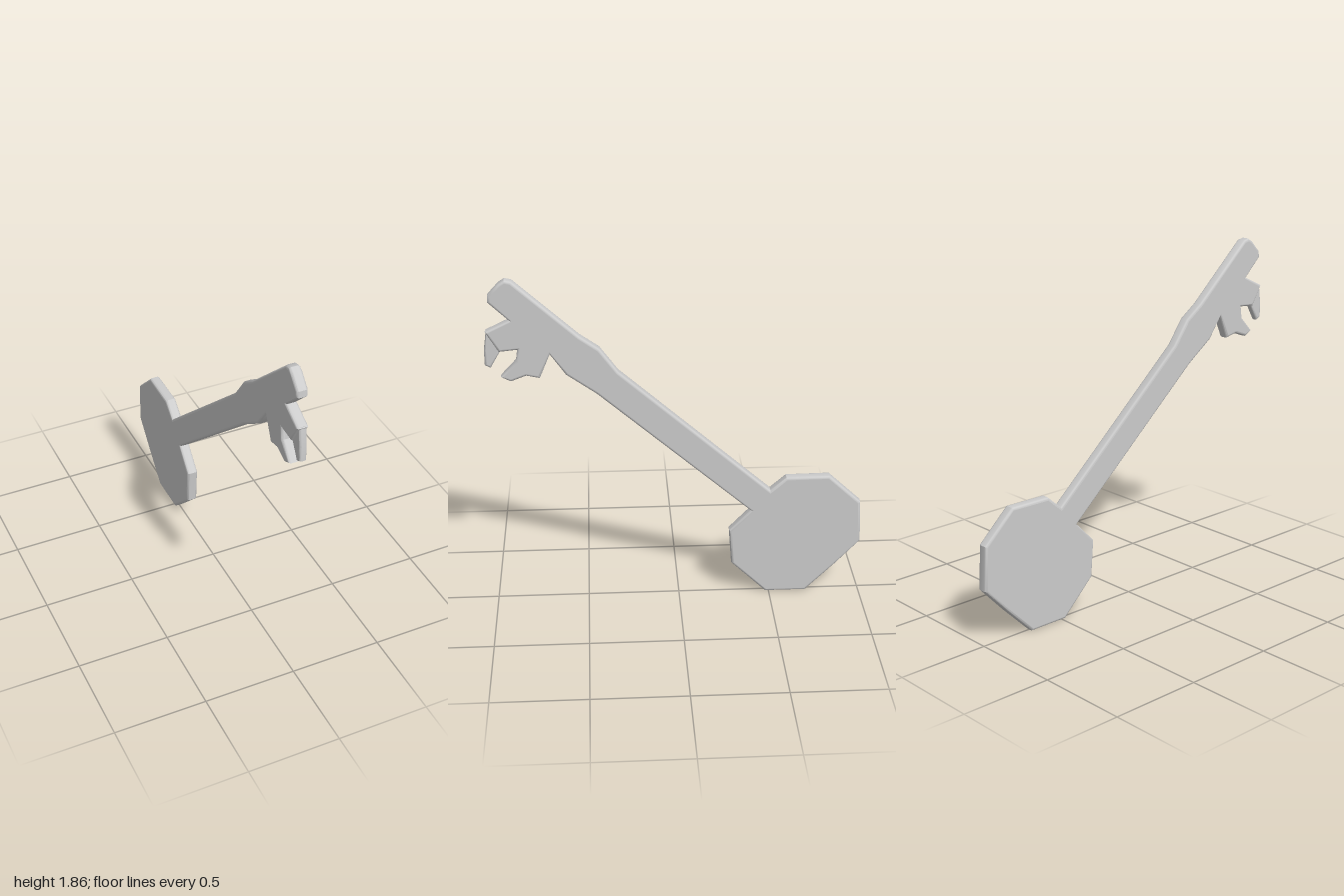
import * as THREE from 'three';
import { toCreasedNormals } from 'three/addons/utils/BufferGeometryUtils.js';

const material = new THREE.MeshStandardMaterial({ color: 0xcccccc });

// Plate cut from a (z, y) outline, centred on x = 0, with rounded rims and flat sides
function plate(name, outline, thickness, bevel) {
  const shape = new THREE.Shape(outline.map(([z, y]) => new THREE.Vector2(z, y)));
  const raw = new THREE.ExtrudeGeometry(shape, {
    depth: thickness - 2 * bevel,
    bevelEnabled: true,
    bevelThickness: bevel,
    bevelSize: bevel,
    bevelOffset: -bevel,
    bevelSegments: 4,
  });
  raw.translate(0, 0, bevel - thickness / 2);
  raw.rotateY(-Math.PI / 2);
  const geometry = toCreasedNormals(raw, 0.6);

  // Keep the two broad sides perfectly flat
  const { position, normal } = geometry.attributes;
  for (let i = 0; i < position.count; i += 3) {
    const xs = [0, 1, 2].map((k) => position.getX(i + k));
    const side = Math.sign(xs[0]);
    if (xs.every((x) => Math.abs(x - side * thickness / 2) < 1e-5)) {
      for (let k = 0; k < 3; k++) normal.setXYZ(i + k, side, 0, 0);
    }
  }
  const mesh = new THREE.Mesh(geometry, material);
  mesh.name = name;
  return mesh;
}

export function createModel() {
  const key = new THREE.Group();
  key.name = 'key';

  // Tip and upper edge of the shaft, with its shoulder
  const upperEdge = [
    [0.97, 1.74], [0.967, 1.775], [0.91, 1.837], [0.88, 1.855], [0.845, 1.848],
    [0.51, 1.545], [0.41, 1.475], [0.315, 1.345], [-0.495, 0.63],
  ];
  // Faceted handle
  const handle = [
    [-0.58, 0.705], [-0.815, 0.708], [-0.99, 0.545], [-1, 0.305], [-0.865, 0.16],
    [-0.705, 0], [-0.48, 0], [-0.29, 0.185], [-0.275, 0.39], [-0.39, 0.51],
  ];
  // Lower edge of the shaft
  const lowerEdge = [[0.43, 1.225], [0.585, 1.335], [0.665, 1.45]];
  // Broad tooth and the arm that carries the hook
  const teeth = [
    [0.72, 1.32], [0.79, 1.335], [0.87, 1.305], [0.92, 1.33], [0.84, 1.415],
    [0.83, 1.48], [0.925, 1.47], [0.99, 1.58], [0.865, 1.64],
  ];
  key.add(plate('keyBody', [...upperEdge, ...handle, ...lowerEdge, ...teeth], 0.06, 0.014));

  // Thinner hooked tooth at the end of the arm
  const hook = [
    [0.985, 1.585], [1, 1.48], [1, 1.395], [0.97, 1.38], [0.915, 1.475], [0.93, 1.53],
  ];
  key.add(plate('hookTooth', hook, 0.04, 0.012));

  return key;
}
